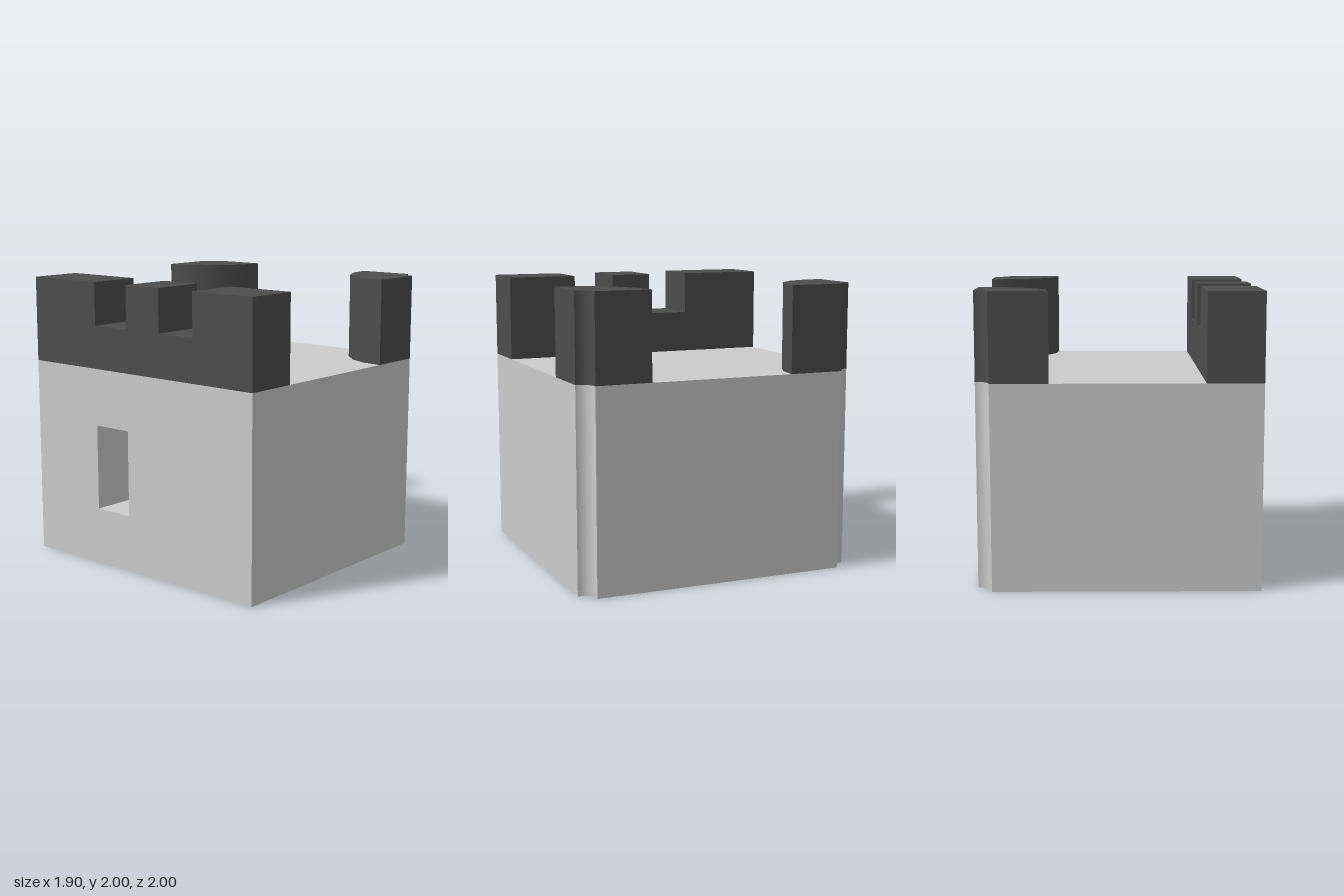
import * as THREE from 'three';
import { toCreasedNormals } from 'three/addons/utils/BufferGeometryUtils.js';

const stone = new THREE.MeshStandardMaterial({ color: 0xcccccc });
const dark = new THREE.MeshStandardMaterial({ color: 0x4d4d4d });

const H = 1.4, TOP = 2;          // deck height, battlement height
const XL = -0.95, XR = 0.95, XW = -0.57; // outer faces, inner face of the wall
const R = 0.1;                   // radius of the corner grooves

function extrude(shape, depth) {
  return new THREE.ExtrudeGeometry(shape, { depth, bevelEnabled: false, curveSegments: 5 });
}

// Footprint drawn as (x, -z), raised from y0 to y1
function raise(shape, y0, y1) {
  const g = extrude(shape, y1 - y0).rotateX(-Math.PI / 2).translate(0, y0, 0);
  return toCreasedNormals(g, 0.6);
}

// Side profile drawn as (z, y), spanning the thickness of the wall
function across(shape) {
  return extrude(shape, XW - XL).rotateY(-Math.PI / 2).translate(XW, 0, 0);
}

function polygon(points) {
  return new THREE.Shape(points.map(([x, y]) => new THREE.Vector2(x, y)));
}

export function createModel() {
  const model = new THREE.Group();
  model.name = 'castleKeep';
  const add = (name, geometry, material) => {
    const mesh = new THREE.Mesh(geometry, material);
    mesh.name = name;
    model.add(mesh);
  };

  // Main block with rounded grooves down two corners
  const plan = new THREE.Shape();
  plan.moveTo(XW, -1);
  plan.lineTo(XR - R, -1);
  plan.absarc(XR, -1, R, Math.PI, Math.PI / 2, true);
  plan.lineTo(XR, 1 - R);
  plan.absarc(XR, 1, R, -Math.PI / 2, -Math.PI, true);
  plan.lineTo(XW, 1);
  add('mainBlock', raise(plan, 0, H), stone);

  // Outer wall with a recessed window
  const wall = polygon([[-1, 0], [1, 0], [1, H], [-1, H]]);
  wall.holes.push(polygon([[-0.4, 0.4], [-0.4, 1], [-0.1, 1], [-0.1, 0.4]]));
  add('windowWall', across(wall), stone);

  // Battlement with two gaps
  const sill = 1.7;
  add('battlement', across(polygon([
    [-1, H], [1, H], [1, TOP], [0.5, TOP], [0.5, sill], [0.2, sill], [0.2, TOP],
    [-0.1, TOP], [-0.1, sill], [-0.4, sill], [-0.4, TOP], [-1, TOP],
  ])), dark);

  // Quarter-round turrets on the grooved corners
  const arc = [[0.46, 1], [0.475, 0.857], [0.54, 0.712], [0.66, 0.593], [0.8, 0.53], [0.95, 0.51]];
  for (const s of [-1, 1]) {
    const turret = new THREE.Shape();
    arc.forEach(([x, y], i) => (i ? turret.lineTo(x, y * s) : turret.moveTo(x, y * s)));
    turret.lineTo(XR, (1 - R) * s);
    turret.absarc(XR, s, R, -s * Math.PI / 2, -s * Math.PI, s > 0);
    add(s < 0 ? 'frontTurret' : 'backTurret', raise(turret, H, TOP), dark);
  }
  return model;
}
